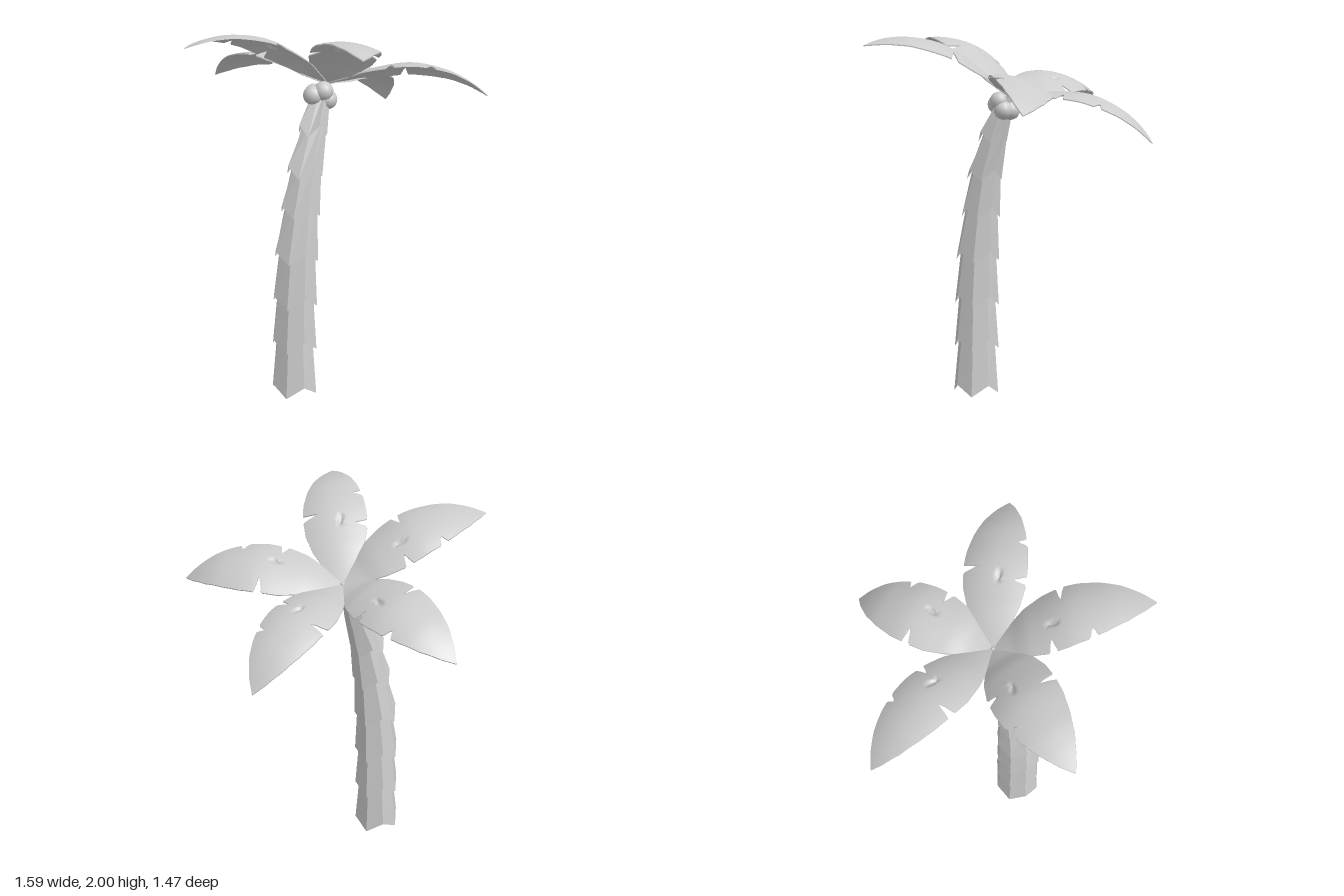
import * as THREE from 'three';

const grey = new THREE.MeshStandardMaterial({ color: 0xcccccc, side: THREE.DoubleSide });
const faceted = new THREE.MeshStandardMaterial({ color: 0xcccccc, side: THREE.DoubleSide, flatShading: true });

// Straight-line interpolation through [x, value] points
function lerpTable(points, x) {
  for (let i = 1; i < points.length; i++) {
    const [x0, v0] = points[i - 1], [x1, v1] = points[i];
    if (x <= x1) return v0 + (v1 - v0) * (x - x0) / (x1 - x0);
  }
  return points[points.length - 1][1];
}

// Trunk tier: an open, flared eight-sided sleeve with a zigzag lower rim
function makeTier(low, high) {
  const geo = new THREE.CylinderGeometry(high.r, low.r, 1, 8, 1, true);
  const p = geo.attributes.position;
  for (let i = 0; i < p.count; i++) {
    const x = p.getX(i), z = p.getZ(i);
    const top = p.getY(i) > 0;
    const c = top ? high : low;
    const notched = !top && Math.abs(x * z) > 1e-5;
    p.setXYZ(i, c.x + x, c.y + (notched ? 0.06 : 0), c.z + z);
  }
  geo.computeVertexNormals();
  return new THREE.Mesh(geo, faceted);
}

function makeTrunk() {
  // centre and rim radius of every tier's lower edge, from the ground up
  const rims = [
    [-0.138, 0.005, 0.265, 0.127], [-0.136, 0.265, 0.26, 0.126], [-0.132, 0.515, 0.257, 0.125],
    [-0.125, 0.765, 0.25, 0.122], [-0.108, 1.01, 0.228, 0.108], [-0.09, 1.22, 0.205, 0.097],
    [-0.062, 1.43, 0.152, 0.078], [-0.035, 1.68, 0.065, 0.055],
  ].map(([x, y, z, r]) => ({ x, y, z, r }));
  const trunk = new THREE.Group();
  trunk.name = 'trunk';
  for (let i = 0; i < rims.length - 1; i++) {
    const b = rims[i + 1], next = rims[i + 2];
    const high = { ...b, r: b.r * 0.8 };
    if (next) {
      // tuck the upper end inside the next tier, along the trunk's lean
      const k = 0.07 / (next.y - b.y);
      for (const axis of ['x', 'y', 'z']) high[axis] += (next[axis] - b[axis]) * k;
    }
    const tier = makeTier(rims[i], high);
    tier.name = 'trunkTier' + (i + 1);
    trunk.add(tier);
  }
  return trunk;
}

// Leaf outline, lengthwise arch and torn notches, running along +x
const LENGTH = 0.845;
const halfWidth = [[0, 0.012], [0.1, 0.085], [0.2, 0.137], [0.3, 0.165], [0.4, 0.17], [0.5, 0.161],
  [0.6, 0.137], [0.7, 0.1], [0.79, 0.047], [LENGTH, 0.002]];
const arch = new THREE.SplineCurve([[0, -0.04], [0.1, 0], [0.22, 0.06], [0.42, 0.116],
  [0.6, 0.104], [0.73, 0.06], [LENGTH, -0.005]].map(([x, y]) => new THREE.Vector2(x, y)));
const archTable = arch.getPoints(48).map(v => [v.x, v.y]);
const notches = [ // side, position, depth, half opening
  [1, 0.32, 0.07, 0.02], [1, 0.53, 0.05, 0.02], [-1, 0.4, 0.095, 0.019],
];

// Short slanted crease in the blade
function crease(x, z) {
  const dx = x - 0.34, dz = z - 0.03;
  const u = dx * 0.97 + dz * 0.24, v = dz * 0.97 - dx * 0.24;
  return 0.018 * Math.max(0, 1 - (u / 0.045) ** 2 - (v / 0.014) ** 2);
}

function makeLeafGeometry() {
  const thickness = 0.006;
  const geo = new THREE.BoxGeometry(LENGTH, thickness, 2, 84, 1, 32);
  const p = geo.attributes.position;
  for (let i = 0; i < p.count; i++) {
    const x = p.getX(i) + LENGTH / 2, s = p.getZ(i);
    let w = lerpTable(halfWidth, x);
    for (const [side, at, depth, open] of notches) {
      if (s * side > 0) w -= depth * Math.max(0, 1 - Math.abs(x - at) / open);
    }
    const z = s * w;
    const y = lerpTable(archTable, x) - 0.035 * (z / 0.165) ** 2 - crease(x, z);
    p.setXYZ(i, x, y + p.getY(i), z);
  }
  geo.computeVertexNormals();
  return geo;
}

// Crown: five leaves around a tilted axis, the rear one slightly shorter
function makeCrown() {
  const crown = new THREE.Group();
  crown.name = 'crown';
  const geo = makeLeafGeometry();
  const leaves = [[15.5, 1], [83, 0.975], [156.5, 1], [231, 1], [299, 0.99]];
  leaves.forEach(([angle, length], i) => {
    const leaf = new THREE.Mesh(geo, grey);
    leaf.name = 'leaf' + (i + 1);
    leaf.rotation.y = THREE.MathUtils.degToRad(angle);
    leaf.scale.x = length;
    crown.add(leaf);
  });
  const bud = new THREE.Mesh(new THREE.SphereGeometry(0.013, 8, 6), grey);
  bud.name = 'bud';
  bud.position.y = -0.038;
  crown.add(bud);
  crown.position.set(-0.018, 1.724, 0.042);
  crown.rotation.set(-0.337, 0, -0.02);
  return crown;
}

// Coconuts clustered under the leaves
function makeCoconuts() {
  const group = new THREE.Group();
  group.name = 'coconuts';
  const geo = new THREE.SphereGeometry(0.052, 14, 10);
  const spots = [[-0.07, 1.635, 0.127], [-0.018, 1.655, 0.105], [-0.005, 1.607, 0.08],
    [-0.085, 1.63, 0.065], [-0.035, 1.605, 0.048]];
  spots.forEach((spot, i) => {
    const nut = new THREE.Mesh(geo, grey);
    nut.name = 'coconut' + (i + 1);
    nut.position.set(...spot);
    group.add(nut);
  });
  return group;
}

export function createModel() {
  const palm = new THREE.Group();
  palm.name = 'palmTree';
  palm.add(makeTrunk(), makeCrown(), makeCoconuts());
  return palm;
}
